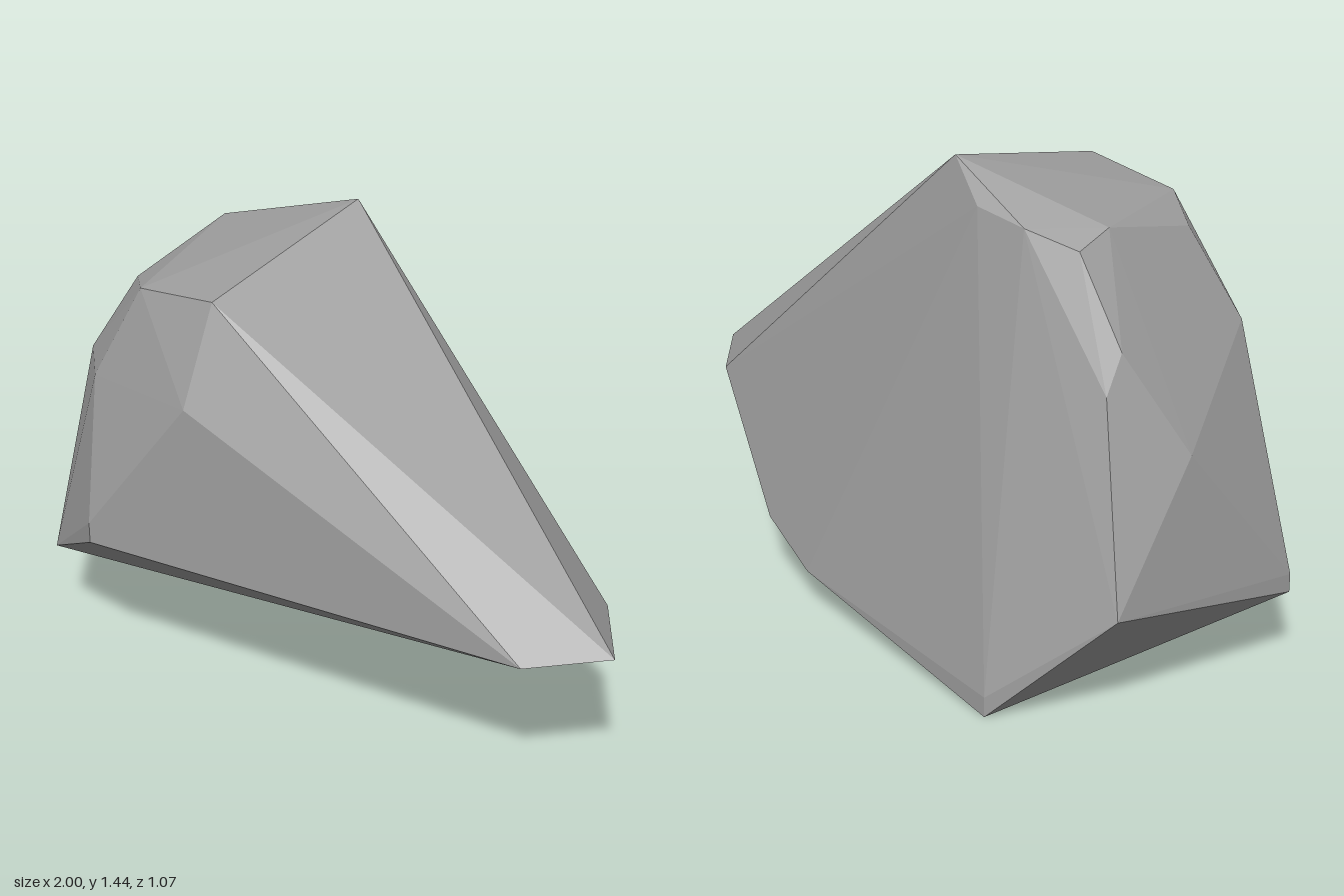
import * as THREE from 'three';
import { ConvexGeometry } from 'three/addons/geometries/ConvexGeometry.js';

export function createModel() {
  const stone = new THREE.MeshStandardMaterial({ color: 0xa0a0a0 });
  stone.name = 'grey stone';
  stone.flatShading = true;

  // Corners of the faceted boulder, by region
  const corners = [
    // pointed end
    [1.0, 0.54, 0.015], [0.82, 0.54, -0.185], [0.845, 0.54, 0.22],
    // crest
    [-0.18, 1.44, -0.245], [-0.18, 1.315, 0.335], [-0.47, 1.265, 0.335],
    [-0.61, 1.305, -0.13], [-0.61, 1.22, 0.22],
    // back shoulder
    [-0.31, 1.34, -0.305], [-0.47, 1.315, -0.305], [-0.61, 1.27, -0.25],
    [-0.755, 1.03, -0.25], [-0.755, 0.925, -0.31],
    // front bulge
    [-0.18, 1.03, 0.455], [-0.61, 0.97, 0.4],
    [-0.515, 0.57, 0.535], [-0.515, 0.505, 0.535],
    // blunt end
    [-0.755, 0.97, 0.28], [-0.9, 0.745, -0.13], [-0.88, 0.355, -0.4],
    [-1.0, 0.3, 0.215], [-1.0, 0.245, 0.215], [-0.84, 0.3, 0.4],
    // underside
    [-0.54, 0, -0.535], [-0.54, 0.06, -0.535],
    [0.24, 0.13, -0.425], [0.47, 0.205, -0.35],
  ].map((p) => new THREE.Vector3(...p));

  const boulder = new THREE.Mesh(new ConvexGeometry(corners), stone);
  boulder.name = 'boulder';

  const group = new THREE.Group();
  group.name = 'rock';
  group.add(boulder);
  return group;
}
